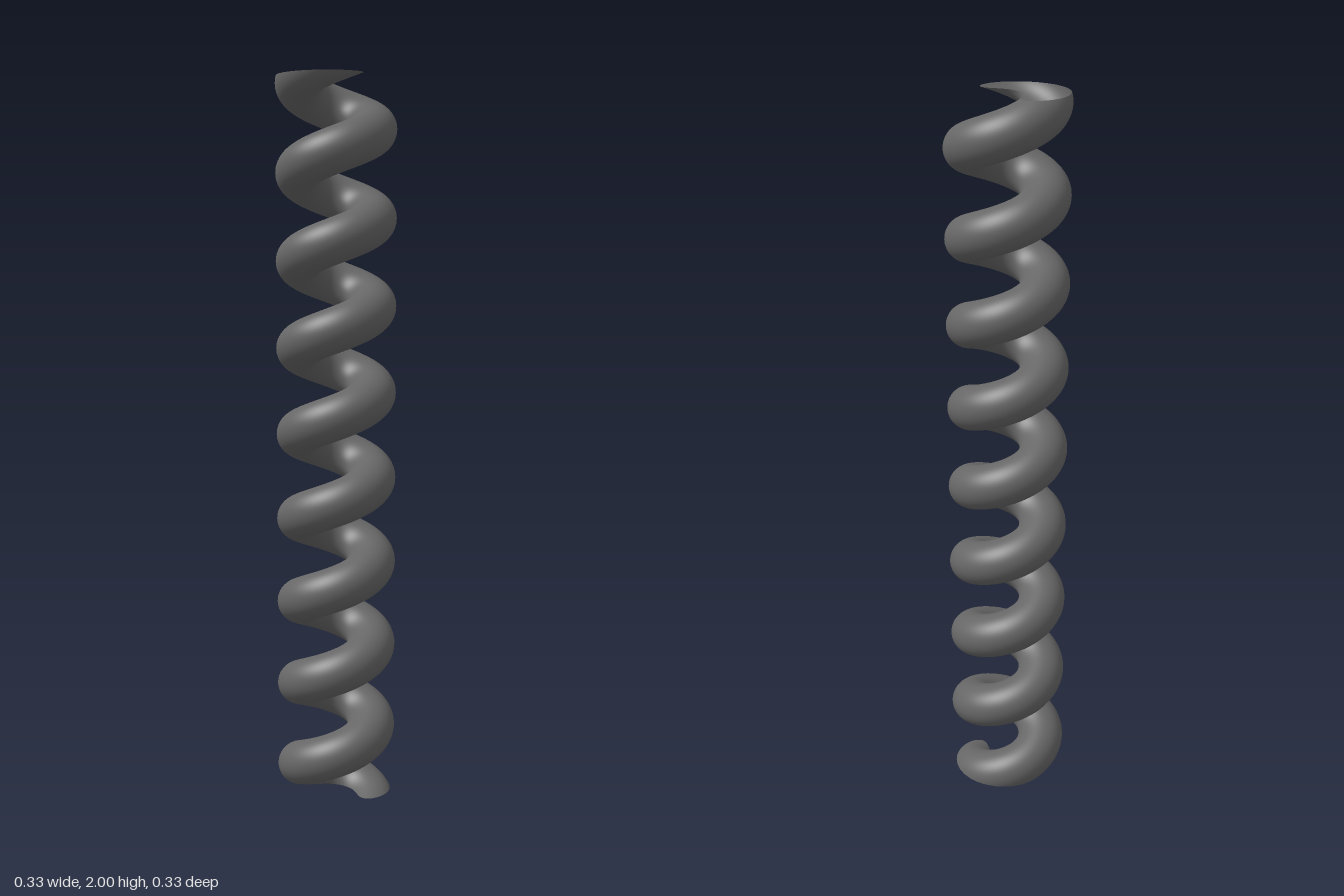
import * as THREE from 'three';
import { ParametricGeometry } from 'three/addons/geometries/ParametricGeometry.js';

const HEIGHT = 2;
const COIL_RADIUS = 0.099; // axis to centre of the strand
const TUBE_RADIUS = 0.066;
const PITCH = 0.2373; // rise per turn
const PHASE = 0.179; // height at which the strand first points to +x

// Surface of a helical tube, swept in horizontal slices so that both
// open ends are cut cleanly by the planes y = 0 and y = HEIGHT.
function coilPoint(u, v, target) {
  const around = -u * Math.PI * 2;
  const y = v * HEIGHT;
  const centreY = y - TUBE_RADIUS * Math.sin(around);
  const turn = ((centreY - PHASE) / PITCH) * Math.PI * 2;
  const radius = COIL_RADIUS + TUBE_RADIUS * Math.cos(around);
  target.set(radius * Math.cos(turn), y, -radius * Math.sin(turn));
}

export function createModel() {
  const group = new THREE.Group();
  group.name = 'coilSpring';

  // Hollow strand, open at the top and bottom
  const material = new THREE.MeshStandardMaterial({ color: 0x666666, side: THREE.DoubleSide });
  const coil = new THREE.Mesh(new ParametricGeometry(coilPoint, 64, 600), material);
  coil.name = 'helicalTube';
  group.add(coil);

  return group;
}
